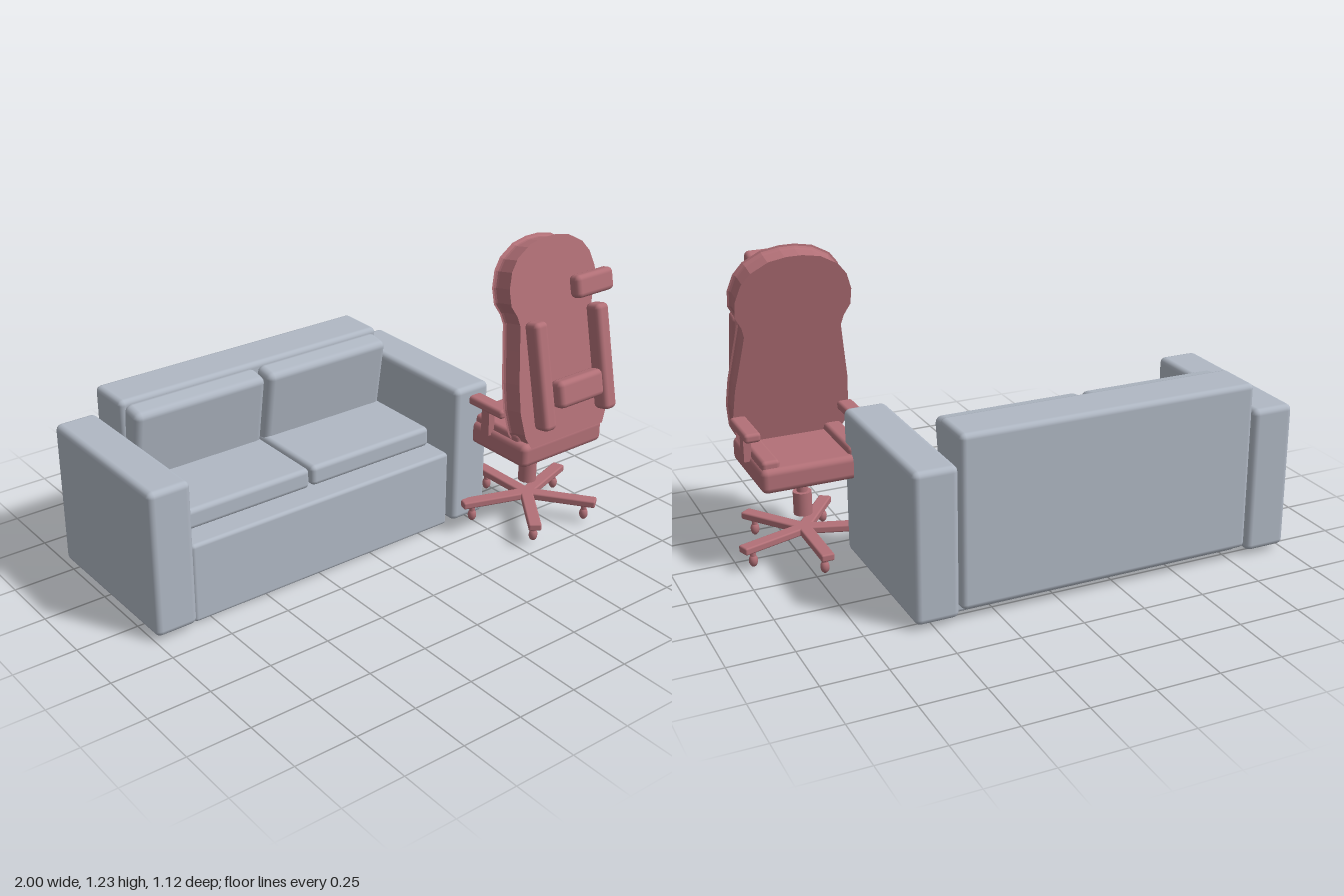
import * as THREE from 'three';
import { RoundedBoxGeometry } from 'three/addons/geometries/RoundedBoxGeometry.js';

const greyFabric = new THREE.MeshStandardMaterial({ color: 0xb0b8c4 });
greyFabric.name = 'grey fabric';
const redLeather = new THREE.MeshStandardMaterial({ color: 0xb27077 });
redLeather.name = 'dusty red leather';

function add(parent, name, geometry, material, x, y, z, tilt = 0) {
  const mesh = new THREE.Mesh(geometry, material);
  mesh.name = name;
  mesh.position.set(x, y, z);
  mesh.rotation.x = tilt;
  parent.add(mesh);
  return mesh;
}

// Rounded box given by its centre and size
function pad(parent, name, material, [x, y, z], [w, h, d], radius, tilt = 0) {
  return add(parent, name, new RoundedBoxGeometry(w, h, d, 2, radius), material, x, y, z, tilt);
}

function createSofa() {
  const sofa = new THREE.Group();
  sofa.name = 'sofa';
  const mid = -0.213;
  pad(sofa, 'sofaBase', greyFabric, [mid, 0.168, -0.188], [1.215, 0.328, 0.605], 0.015);
  pad(sofa, 'sofaBackrest', greyFabric, [mid, 0.385, -0.459], [1.21, 0.682, 0.197], 0.022);
  for (const side of [-1, 1]) {
    pad(sofa, 'sofaArm', greyFabric, [mid + side * 0.699, 0.319, -0.207], [0.172, 0.592, 0.705], 0.024);
    const x = mid + side * 0.298;
    pad(sofa, 'seatCushion', greyFabric, [x, 0.37, -0.18], [0.585, 0.085, 0.38], 0.02);
    // Back cushions lean forward a little
    pad(sofa, 'backCushion', greyFabric, [x, 0.545, -0.345], [0.58, 0.325, 0.105], 0.028, 0.16);
  }
  return sofa;
}

// Silhouette of the chair back as [half width, height]
const backOutline = [
  [0.195, 0], [0.22, 0.05], [0.232, 0.15], [0.225, 0.26], [0.205, 0.39], [0.19, 0.49],
  [0.2, 0.53], [0.225, 0.575], [0.226, 0.64], [0.205, 0.705], [0.17, 0.75], [0.1, 0.79], [0.03, 0.803],
];

function createChair() {
  const chair = new THREE.Group();
  chair.name = 'officeChair';
  chair.position.set(0.717, 0, 0.243);
  const lean = -0.207;

  // Reclined back shell with flared rims
  const mirrored = backOutline.map(([x, y]) => [-x, y]).reverse();
  const shape = new THREE.Shape([...backOutline, ...mirrored].map(([x, y]) => new THREE.Vector2(x, y)));
  const shell = new THREE.ExtrudeGeometry(shape, {
    depth: 0.064, bevelThickness: 0.018, bevelSize: -0.014, bevelSegments: 3,
  });
  shell.translate(0, 0, -0.082);
  add(chair, 'chairBack', shell, redLeather, 0, 0.45, 0.212, lean);

  // Padding in front of the back
  pad(chair, 'headrest', redLeather, [0, 1.118, 0.282], [0.19, 0.088, 0.055], 0.02, lean);
  pad(chair, 'lumbarPad', redLeather, [0, 0.67, 0.248], [0.235, 0.11, 0.065], 0.022, lean);

  // Seat and its support plate
  pad(chair, 'chairSeat', redLeather, [-0.004, 0.406, -0.002], [0.435, 0.098, 0.402], 0.025);
  add(chair, 'seatPlate', new THREE.BoxGeometry(0.19, 0.045, 0.197), redLeather, 0, 0.34, 0);

  for (const side of [-1, 1]) {
    pad(chair, 'backBolster', redLeather, [side * 0.163, 0.75, 0.209], [0.065, 0.43, 0.074], 0.02, lean);
    pad(chair, 'seatBolster', redLeather, [side * 0.17, 0.46, -0.018], [0.07, 0.045, 0.328], 0.015);
    pad(chair, 'armrestPad', redLeather, [side * 0.216, 0.558, -0.017], [0.064, 0.037, 0.208], 0.013);
    add(chair, 'armrestPost', new THREE.BoxGeometry(0.03, 0.11, 0.044), redLeather, side * 0.218, 0.49, -0.017);
  }

  // Gas lift
  add(chair, 'liftRod', new THREE.CylinderGeometry(0.021, 0.021, 0.07, 16), redLeather, 0, 0.29, 0);
  add(chair, 'liftSleeve', new THREE.CylinderGeometry(0.037, 0.037, 0.095, 16), redLeather, 0, 0.212, 0);

  // Five-legged star base with casters, one leg pointing backwards
  for (let i = 0; i < 5; i++) {
    const leg = new THREE.Group();
    leg.name = 'baseLeg';
    leg.rotation.y = (i * Math.PI * 2) / 5;
    pad(leg, 'legBar', redLeather, [0, 0.097, -0.14], [0.052, 0.03, 0.3], 0.007);
    add(leg, 'casterStem', new THREE.CylinderGeometry(0.011, 0.012, 0.035, 10), redLeather, 0, 0.07, -0.243);
    const wheel = add(leg, 'casterWheel', new THREE.SphereGeometry(0.018, 12, 8), redLeather, 0, 0.041, -0.243);
    wheel.scale.y = 1.45;
    chair.add(leg);
  }
  return chair;
}

export function createModel() {
  const model = new THREE.Group();
  model.name = 'sofaAndChair';
  model.add(createSofa(), createChair());
  return model;
}
